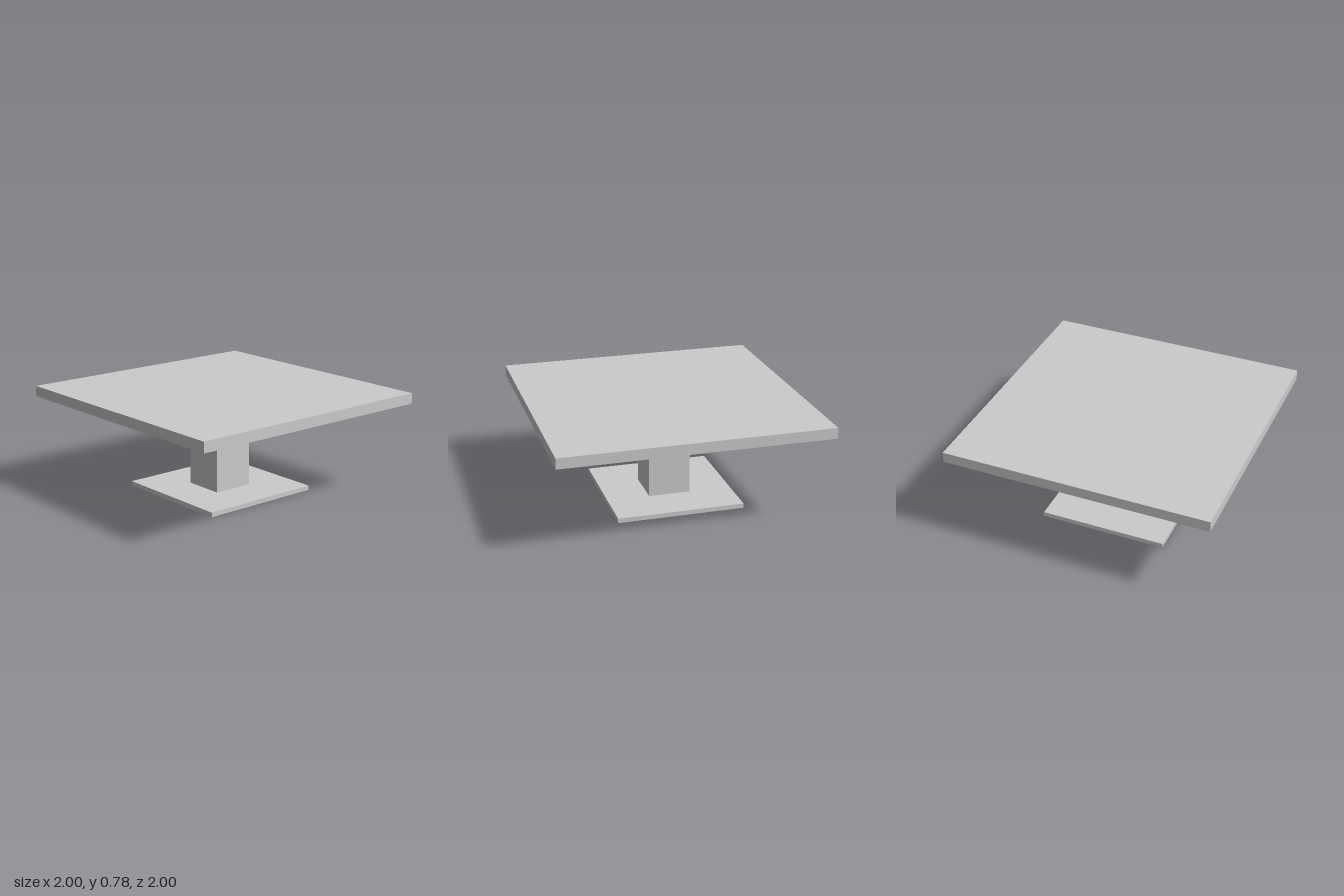
import * as THREE from 'three';

const material = new THREE.MeshStandardMaterial({ color: 0xcccccc, flatShading: true });

// Square slab of a given width, spanning bottom to top in y
function slab(name, width, bottom, top, z = 0) {
  const mesh = new THREE.Mesh(new THREE.BoxGeometry(width, top - bottom, width), material);
  mesh.name = name;
  mesh.position.set(0, (bottom + top) / 2, z);
  return mesh;
}

export function createModel() {
  const table = new THREE.Group();
  table.name = 'pedestalTable';

  const baseTop = 0.035, topUnderside = 0.7, height = 0.78;
  const pedestalZ = -0.025; // pedestal sits slightly behind the centre

  table.add(
    slab('tableTop', 2, topUnderside, height),
    slab('column', 0.318, baseTop, topUnderside, pedestalZ),
    slab('basePlate', 0.962, 0, baseTop, pedestalZ),
  );
  return table;
}
